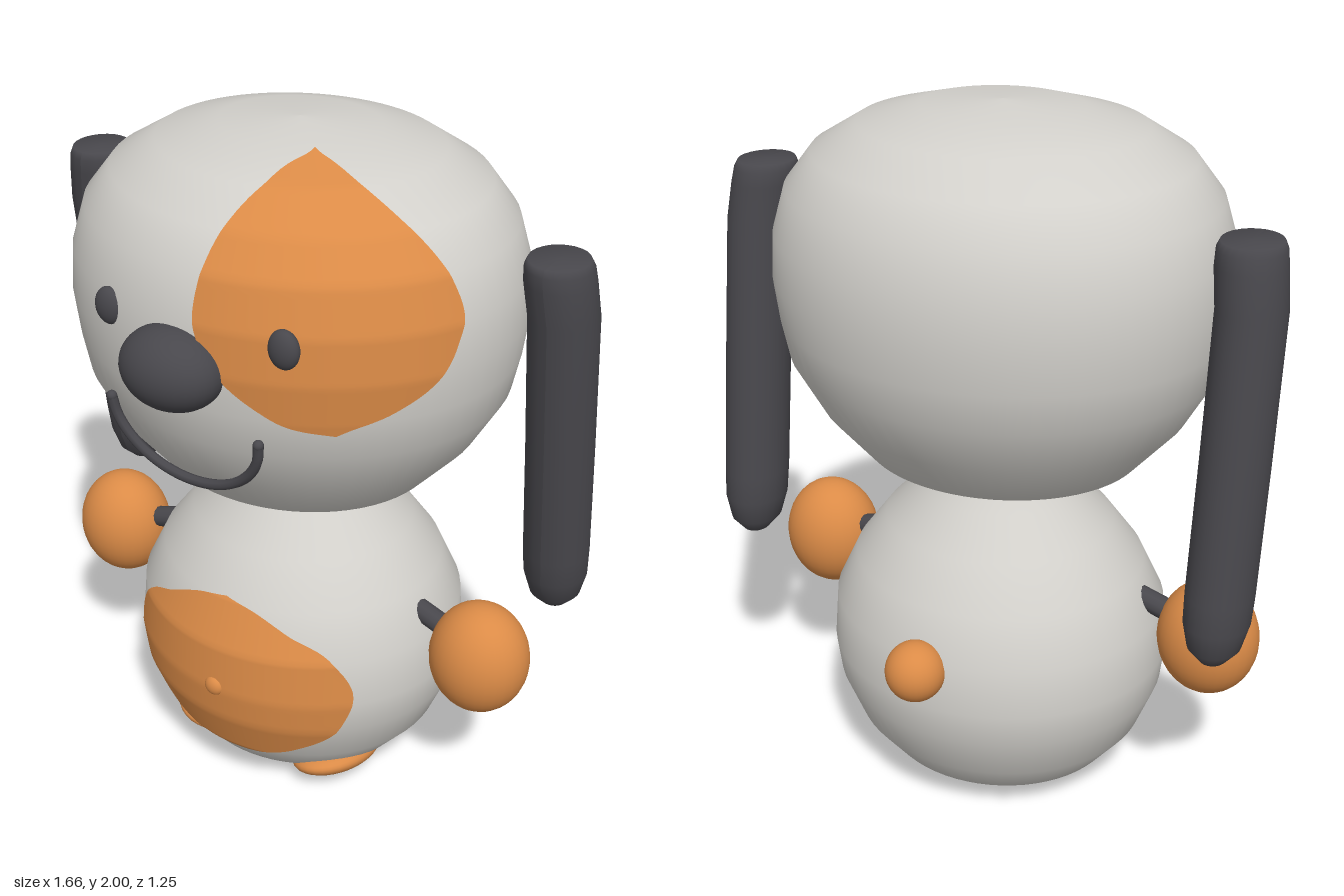
import * as THREE from 'three';
import { ParametricGeometry } from 'three/addons/geometries/ParametricGeometry.js';

const makeMat = (name, color) => {
  const m = new THREE.MeshStandardMaterial({ color });
  m.name = name;
  return m;
};

// Turned shapes: profile is [y, radius] from bottom to top; depth squashes z
const HEAD = {
  z: -0.052, depth: 0.893, midY: 1.5,
  profile: [[0.955, 0], [0.957, 0.2], [0.968, 0.26], [1.035, 0.4], [1.17, 0.52], [1.31, 0.6], [1.42, 0.622],
    [1.53, 0.635], [1.65, 0.627], [1.77, 0.59], [1.865, 0.515], [1.94, 0.39], [1.985, 0.22], [2, 0]],
};
const BODY = {
  z: -0.075, depth: 0.93, midY: 0.45,
  profile: [[0, 0], [0.035, 0.22], [0.1, 0.35], [0.2, 0.43], [0.33, 0.482], [0.43, 0.494], [0.57, 0.482],
    [0.7, 0.42], [0.82, 0.33], [0.92, 0.235], [1, 0.18]],
};

function radiusAt({ profile }, y) {
  for (let i = 1; i < profile.length; i++) {
    const [y0, r0] = profile[i - 1], [y1, r1] = profile[i];
    if (y <= y1) return r0 + (r1 - r0) * Math.max(0, (y - y0) / (y1 - y0));
  }
  return 0;
}

function turned(shape) {
  const g = new THREE.LatheGeometry(shape.profile.map(([y, r]) => new THREE.Vector2(r, y)), 64);
  return g.scale(1, 1, shape.depth).translate(0, 0, shape.z);
}

// Thin patch hugging a turned shape; rows are [y, start angle, end angle] in degrees from the front
function patch(shape, rows) {
  const curve = new THREE.CatmullRomCurve3(rows.map(([y, a, b]) => new THREE.Vector3(a, y, b)));
  const lift = 1.013;
  const g = new ParametricGeometry((u, v, out) => {
    const p = curve.getPoint(v);
    const t = THREE.MathUtils.degToRad(p.x + (p.z - p.x) * u);
    const r = radiusAt(shape, p.y) * lift;
    out.set(r * Math.sin(t), shape.midY + (p.y - shape.midY) * lift, shape.z + r * shape.depth * Math.cos(t));
  }, 24, 64);
  g.computeVertexNormals();
  return g;
}

// Long hanging ear: rounded column, sheared backward towards the tip
function earGeometry() {
  const pts = [[0, 0.65], [0.4, 0.66], [0.78, 0.7], [0.97, 0.77], [1, 0.85], [1, 1.2], [1, 1.6],
    [1, 1.7], [0.96, 1.74], [0.86, 1.76], [0, 1.762]];
  const g = new THREE.LatheGeometry(pts.map(([r, y]) => new THREE.Vector2(r, y)), 24);
  g.scale(0.09, 1, 0.1);
  const pos = g.attributes.position;
  for (let i = 0; i < pos.count; i++) {
    const y = pos.getY(i);
    pos.setX(i, pos.getX(i) - 0.02 * THREE.MathUtils.smoothstep(y, 1.55, 1.76));
    pos.setZ(i, pos.getZ(i) - 0.25 + 0.138 * (y - 0.7) / 1.06);
  }
  g.computeVertexNormals();
  return g;
}

export function createModel() {
  const group = new THREE.Group();
  const white = makeMat('offWhite', 0xd2d0cb);
  const orange = makeMat('orange', 0xdb8b47);
  const dark = makeMat('charcoal', 0x48474c);

  const add = (name, geometry, material, pos = [0, 0, 0], rot = [0, 0, 0]) => {
    const mesh = new THREE.Mesh(geometry, material);
    mesh.name = name;
    mesh.position.set(...pos);
    mesh.rotation.set(...rot);
    group.add(mesh);
    return mesh;
  };
  const ball = (name, material, pos, size, rot) =>
    add(name, new THREE.SphereGeometry(1, 32, 20).scale(...size), material, pos, rot);

  // Head and body
  add('head', turned(HEAD), white);
  add('body', turned(BODY), white);

  // Coloured patches
  add('eyePatch', patch(HEAD, [[1.39, 39, 39], [1.41, 28.5, 43], [1.45, 21, 53], [1.52, 12.7, 63.5],
    [1.6, 7.3, 68.7], [1.68, 5.4, 71], [1.78, 6.4, 68], [1.88, 10, 61], [1.95, 19, 52], [1.985, 40, 40]]), orange);
  add('bellyPatch', patch(BODY, [[0.185, 0], [0.195, 13.6], [0.24, 29], [0.35, 44.5], [0.46, 48.5],
    [0.57, 42], [0.645, 26], [0.69, 13], [0.71, 0]].map(([y, a]) => [y, -a, a])), orange);
  ball('bellyButton', orange, [0, 0.44, 0.383], [0.03, 0.03, 0.02]);

  // Face
  ball('nose', dark, [0, 1.525, 0.515], [0.143, 0.11, 0.112]);
  ball('rightEye', dark, [-0.225, 1.615, 0.472], [0.042, 0.051, 0.026]);
  ball('leftEye', dark, [0.29, 1.63, 0.456], [0.043, 0.052, 0.028]);
  const smile = [];
  for (let i = 0; i <= 12; i++) {
    const t = Math.PI * i / 12;
    smile.push(new THREE.Vector3(-0.23 * Math.cos(t), 1.36 - 0.19 * Math.sin(t), 0.48 - 0.026 * Math.sin(t)));
  }
  add('mouth', new THREE.TubeGeometry(new THREE.CatmullRomCurve3(smile), 40, 0.014, 8), dark);
  for (const end of [smile[0], smile[12]]) ball('mouthEnd', dark, end.toArray(), [0.014, 0.014, 0.014]);

  // Tail
  ball('tail', orange, [0, 0.545, -0.54], [0.083, 0.085, 0.083]);

  // Paired parts
  const ear = earGeometry();
  for (const [side, s] of [['left', 1], ['right', -1]]) {
    const earMesh = add(side + 'Ear', ear, dark, [0.74 * s, 0, 0]);
    earMesh.scale.x = s;
    const arm = new THREE.LineCurve3(new THREE.Vector3(0.38 * s, 0.65, -0.03), new THREE.Vector3(0.58 * s, 0.59, -0.02));
    add(side + 'Arm', new THREE.TubeGeometry(arm, 2, 0.032, 12), dark);
    ball(side + 'Hand', orange, [0.632 * s, 0.56, -0.016], [0.144, 0.168, 0.134]);
    ball(side + 'Foot', orange, [0.215 * s, 0.072, 0.062], [0.12, 0.05, 0.165], [0.2 * -1, 0, 0.28 * s]);
  }
  return group;
}
